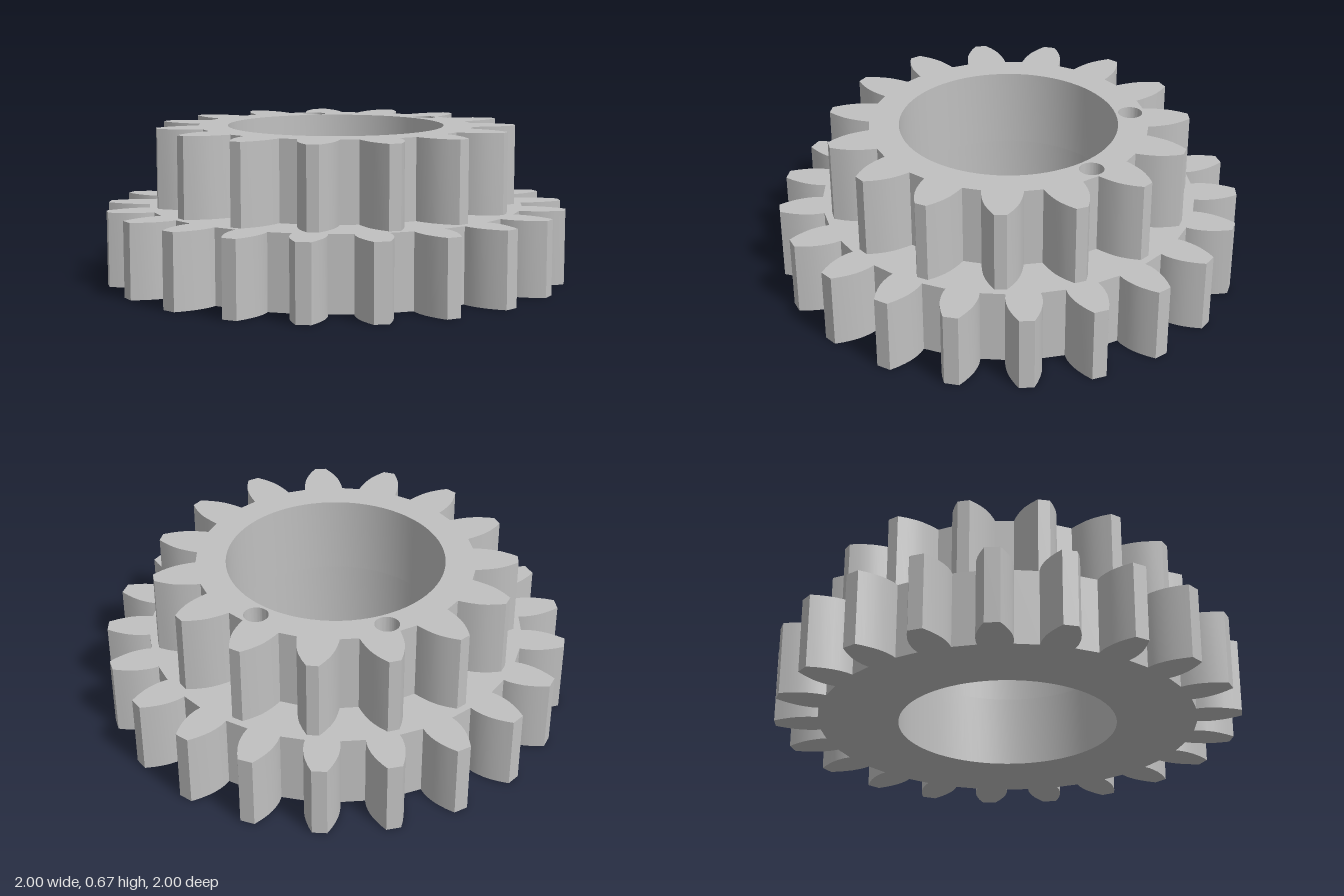
import * as THREE from 'three';
import { toCreasedNormals } from 'three/addons/utils/BufferGeometryUtils.js';

const BORE = 0.47;
const rad = THREE.MathUtils.degToRad;

// Toothed ring: flank lists [distance from centre, half width] from root to tip
function gearShape(teeth, phase, flank, pins = []) {
  const profile = [
    ...flank.map(([r, w]) => [r, -w]),
    ...flank.map(([r, w]) => [r, w]).reverse(),
  ];
  const points = [];
  for (let i = 0; i < teeth; i++) {
    const a = rad(phase) + (i / teeth) * Math.PI * 2;
    for (const [r, w] of profile) {
      points.push(new THREE.Vector2(
        r * Math.cos(a) - w * Math.sin(a),
        r * Math.sin(a) + w * Math.cos(a)));
    }
  }
  const shape = new THREE.Shape(points);
  for (const [x, y, r] of [[0, 0, BORE], ...pins]) {
    shape.holes.push(new THREE.Path().absarc(x, y, r, 0, Math.PI * 2, true));
  }
  return shape;
}

// Extrude upward from height y, keeping tooth corners sharp and curves smooth
function gearMesh(name, shape, y, height, material) {
  let geometry = new THREE.ExtrudeGeometry(shape, {
    depth: height, bevelEnabled: false, curveSegments: 36,
  });
  geometry.rotateX(-Math.PI / 2);
  geometry = toCreasedNormals(geometry, 0.5);
  const mesh = new THREE.Mesh(geometry, material);
  mesh.name = name;
  mesh.position.y = y;
  return mesh;
}

export function createModel() {
  const group = new THREE.Group();
  group.name = 'doubleGear';
  const steel = new THREE.MeshStandardMaterial({ color: 0xc0c0c0 });
  steel.name = 'steel grey';

  // Wide lower gear, 21 teeth
  const lowerFlank = [
    [0.81, 0.07], [0.84, 0.074], [0.87, 0.073], [0.9, 0.069],
    [0.93, 0.061], [0.965, 0.048], [1.0, 0.031],
  ];
  group.add(gearMesh('lowerGear', gearShape(21, 89.2, lowerFlank), 0, 0.32, steel));

  // Narrow upper gear, 15 teeth, with two pin holes beside the bore
  const upperFlank = [
    [0.592, 0.086], [0.62, 0.084], [0.65, 0.08], [0.68, 0.074],
    [0.71, 0.064], [0.745, 0.047], [0.78, 0.025],
  ];
  const pins = [[0, 0.535, 0.052], [-0.463, 0.268, 0.052]];
  group.add(gearMesh('upperGear', gearShape(15, 0.5, upperFlank, pins), 0.32, 0.345, steel));

  return group;
}
